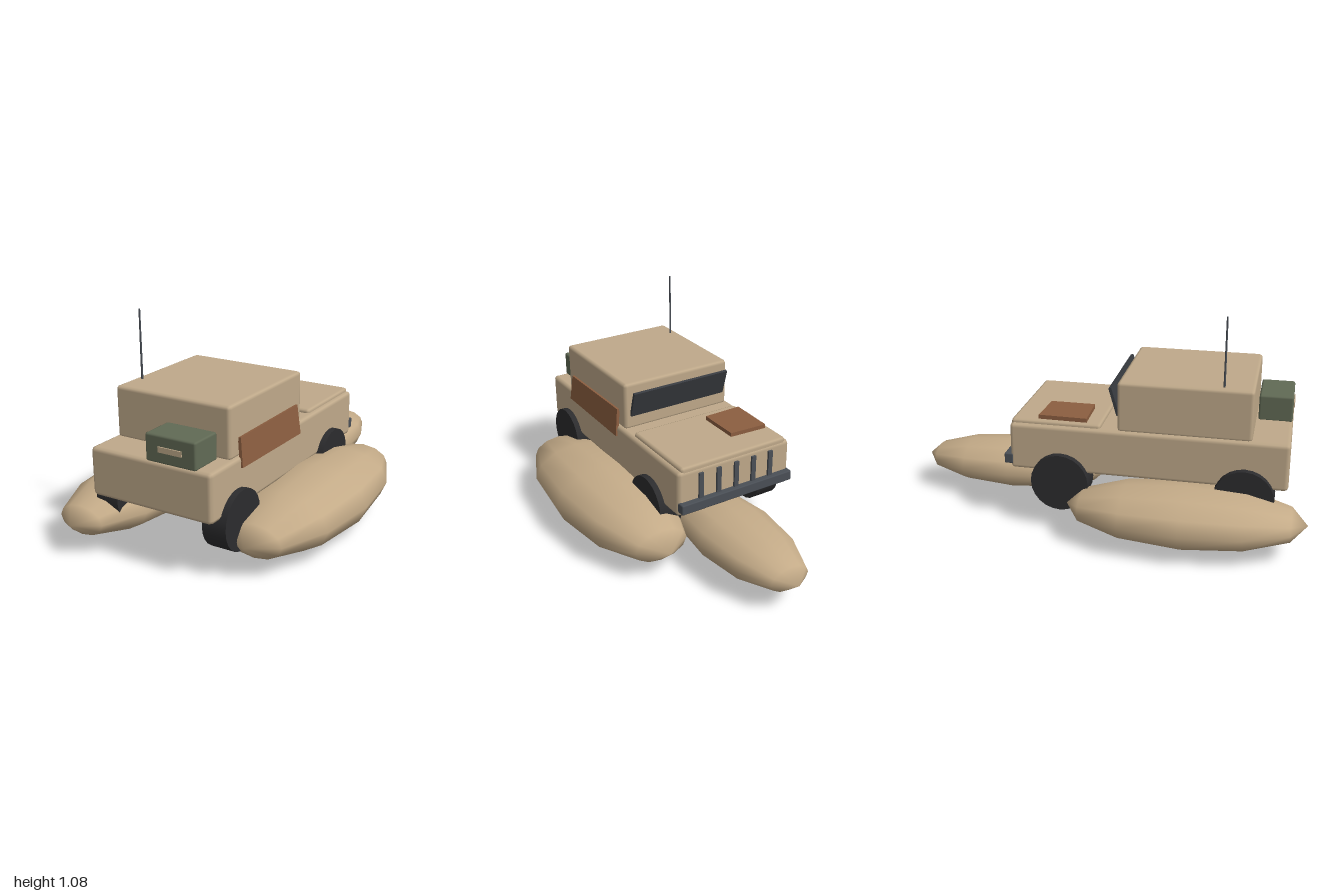
import * as THREE from 'three';
import { RoundedBoxGeometry } from 'three/addons/geometries/RoundedBoxGeometry.js';

export function createModel() {
  const group = new THREE.Group();
  const mat = (name, color) => {
    const m = new THREE.MeshStandardMaterial({ color });
    m.name = name;
    return m;
  };
  const tan = mat('sand paint', 0xbfa98a);
  const cloth = mat('sand canvas', 0xc4ab88);
  const rubber = mat('black rubber', 0x2c2c2e);
  const steel = mat('dark steel', 0x4a4f56);
  const glass = mat('dark glass', 0x383b40);
  const rust = mat('rust', 0x8c5e40);
  const green = mat('olive green', 0x616a55);

  const add = (name, geometry, material, x = 0, y = 0, z = 0) => {
    const m = new THREE.Mesh(geometry, material);
    m.name = name;
    m.position.set(x, y, z);
    group.add(m);
    return m;
  };
  // Box given by its limits on each axis, chamfered when bevel > 0
  const block = (name, material, [x0, x1], [y0, y1], [z0, z1], bevel = 0) => {
    const s = [x1 - x0, y1 - y0, z1 - z0];
    const g = bevel ? new RoundedBoxGeometry(...s, 1, bevel) : new THREE.BoxGeometry(...s);
    return add(name, g, material, (x0 + x1) / 2, (y0 + y1) / 2, (z0 + z1) / 2);
  };
  // Thin plate with four uneven corners
  const plate = (corners, depth) => new THREE.ExtrudeGeometry(
    new THREE.Shape(corners.map(([x, y]) => new THREE.Vector2(x, y))),
    { depth, bevelEnabled: false });

  // Body, hood and cabin
  block('body', tan, [-0.35, 0.285], [0.292, 0.523], [-0.425, 0.895], 0.02);
  block('hood', tan, [-0.33, 0.265], [0.49, 0.541], [-0.42, 0.015], 0.015);
  block('cabin', tan, [-0.335, 0.267], [0.515, 0.76], [0.095, 0.722], 0.017);

  // Leaning windshield
  const shield = add('windshield', new THREE.BoxGeometry(0.545, 0.138, 0.014), glass, -0.037, 0.655, 0.076);
  shield.rotation.x = -0.28;

  // Bumper and grille bars at the nose
  block('bumper', steel, [-0.35, 0.28], [0.315, 0.366], [-0.455, -0.412], 0.006);
  for (let i = 0; i < 5; i++) {
    const x = -0.233 + i * 0.099;
    block('grilleBar', steel, [x - 0.012, x + 0.012], [0.34, 0.498], [-0.436, -0.415]);
  }

  // Wheels
  const wheel = new THREE.CylinderGeometry(0.14, 0.14, 0.12, 24).rotateZ(Math.PI / 2);
  for (const x of [-0.322, 0.255])
    for (const z of [-0.175, 0.697]) add('wheel', wheel, rubber, x, 0.25, z);

  // Faceted sandbag-like floats, poles along z
  const bag = new THREE.SphereGeometry(1, 12, 6).rotateX(Math.PI / 2);
  for (const [name, x, z, rx, ry, rz] of [
    ['leftFloat', 0.37, 0.143, 0.275, 0.16, 0.643],
    ['rightFloat', -0.408, 0.432, 0.242, 0.14, 0.563],
    ['noseFloat', 0.025, -0.51, 0.205, 0.12, 0.49],
  ]) add(name, bag, cloth, x, 0.165, z).scale.set(rx, ry, rz);

  // Rusty patch on the hood
  add('hoodPatch', plate([[-0.31, 0.055], [-0.108, 0.06], [-0.108, 0.28], [-0.305, 0.29]], 0.02)
    .rotateX(-Math.PI / 2), rust, 0, 0.541, 0);

  // Rusty side panel, leaning outward at the bottom
  const panel = add('sidePanel', plate([[-0.259, -0.068], [0.257, -0.073], [0.25, 0.07], [-0.25, 0.066]], 0.015)
    .rotateY(Math.PI / 2), rust, 0.272, 0.54, 0.405);
  panel.rotation.z = 0.11;

  // Storage crate with a label strip
  block('crate', green, [-0.047, 0.21], [0.518, 0.645], [0.73, 0.892], 0.01);
  block('crateStrip', tan, [0.022, 0.142], [0.571, 0.596], [0.889, 0.898]);

  // Antenna
  add('antenna', new THREE.CylinderGeometry(0.004, 0.005, 0.335, 8), steel, -0.294, 0.918, 0.582);

  return group;
}
